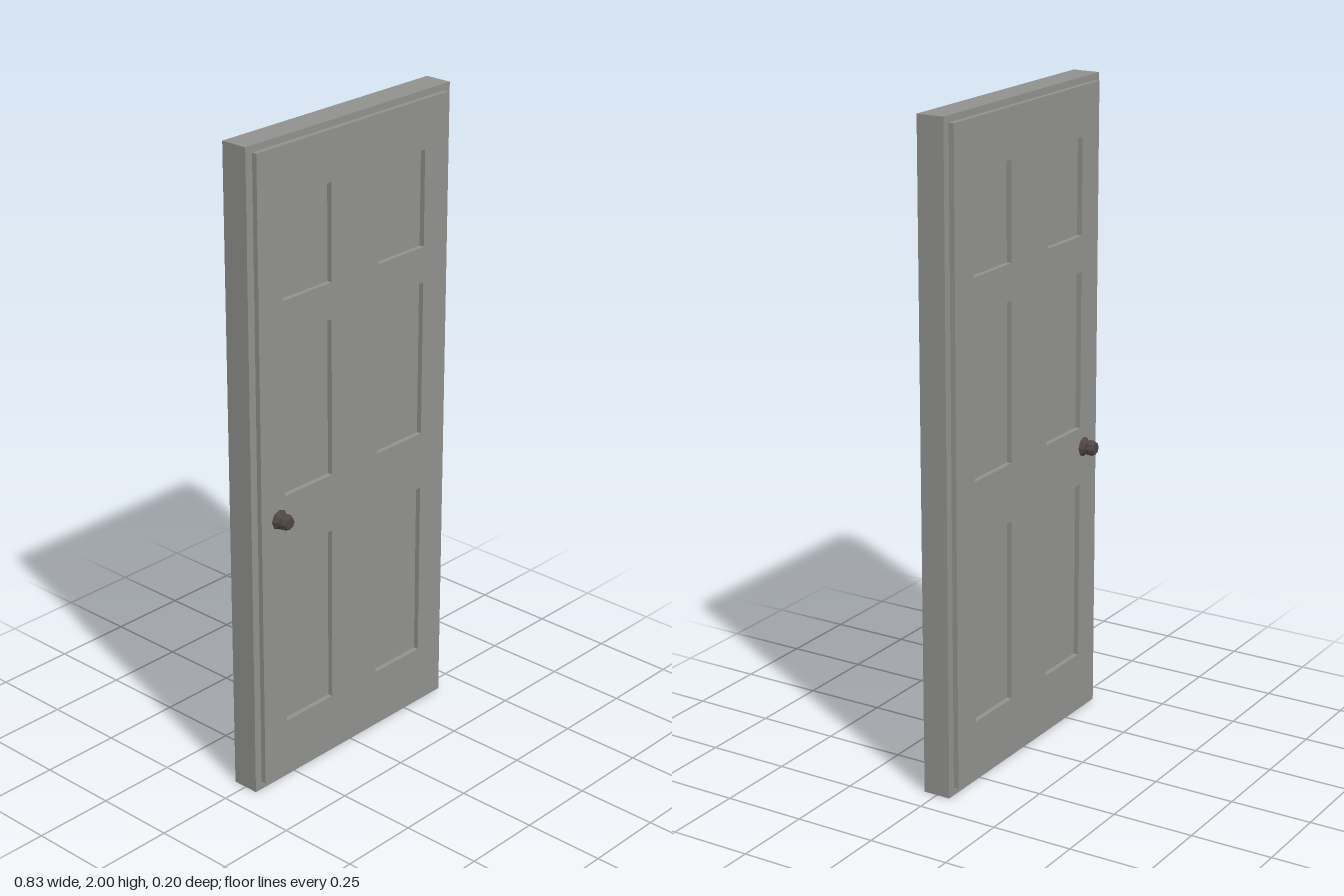
import * as THREE from 'three';

const PLATE_Z = 0.043, PLATE_DEPTH = 0.016;

// Clockwise rectangle path usable as an outline or a hole
function rect(PathType, x0, y0, x1, y1) {
  const p = new PathType();
  p.moveTo(x0, y0);
  p.lineTo(x1, y0);
  p.lineTo(x1, y1);
  p.lineTo(x0, y1);
  p.closePath();
  return p;
}

// Raised facing with six rectangular recesses
function facingGeometry() {
  const shape = rect(THREE.Shape, -0.39, 0.025, 0.39, 1.98);
  const rows = [[0.2, 0.76], [0.94, 1.425], [1.535, 1.83]];
  for (const [y0, y1] of rows) {
    for (const x0 of [-0.295, 0.097]) {
      shape.holes.push(rect(THREE.Path, x0, y0, x0 + 0.196, y1));
    }
  }
  return new THREE.ExtrudeGeometry(shape, { depth: PLATE_DEPTH, bevelEnabled: false });
}

// Faceted knob with flared collar, pointing along +z
function knobGeometry() {
  const profile = [
    [0, 0.043], [0.012, 0.043], [0.032, 0.058], [0.016, 0.074],
    [0.025, 0.081], [0.025, 0.087], [0.018, 0.101], [0, 0.101],
  ].map(([r, h]) => new THREE.Vector2(r, h));
  return new THREE.LatheGeometry(profile, 8).rotateX(Math.PI / 2);
}

export function createModel() {
  const door = new THREE.Group();
  door.name = 'panelDoor';
  const paint = new THREE.MeshStandardMaterial({ color: 0x90908e, flatShading: true });
  const metal = new THREE.MeshStandardMaterial({ color: 0x4f4543, flatShading: true });

  // Core slab
  const slab = new THREE.Mesh(new THREE.BoxGeometry(0.83, 2, PLATE_Z * 2), paint);
  slab.name = 'slab';
  slab.position.y = 1;
  door.add(slab);

  // Facing and knob on each side
  const facingGeo = facingGeometry();
  const knobGeo = knobGeometry();
  for (const side of ['front', 'back']) {
    const isFront = side === 'front';

    const facing = new THREE.Mesh(facingGeo, paint);
    facing.name = side + 'Facing';
    facing.position.z = isFront ? PLATE_Z : -PLATE_Z - PLATE_DEPTH;
    door.add(facing);

    const knob = new THREE.Mesh(knobGeo, metal);
    knob.name = side + 'Knob';
    knob.position.set(-0.318, 0.875, 0);
    knob.rotation.y = isFront ? 0 : Math.PI;
    door.add(knob);
  }
  return door;
}
